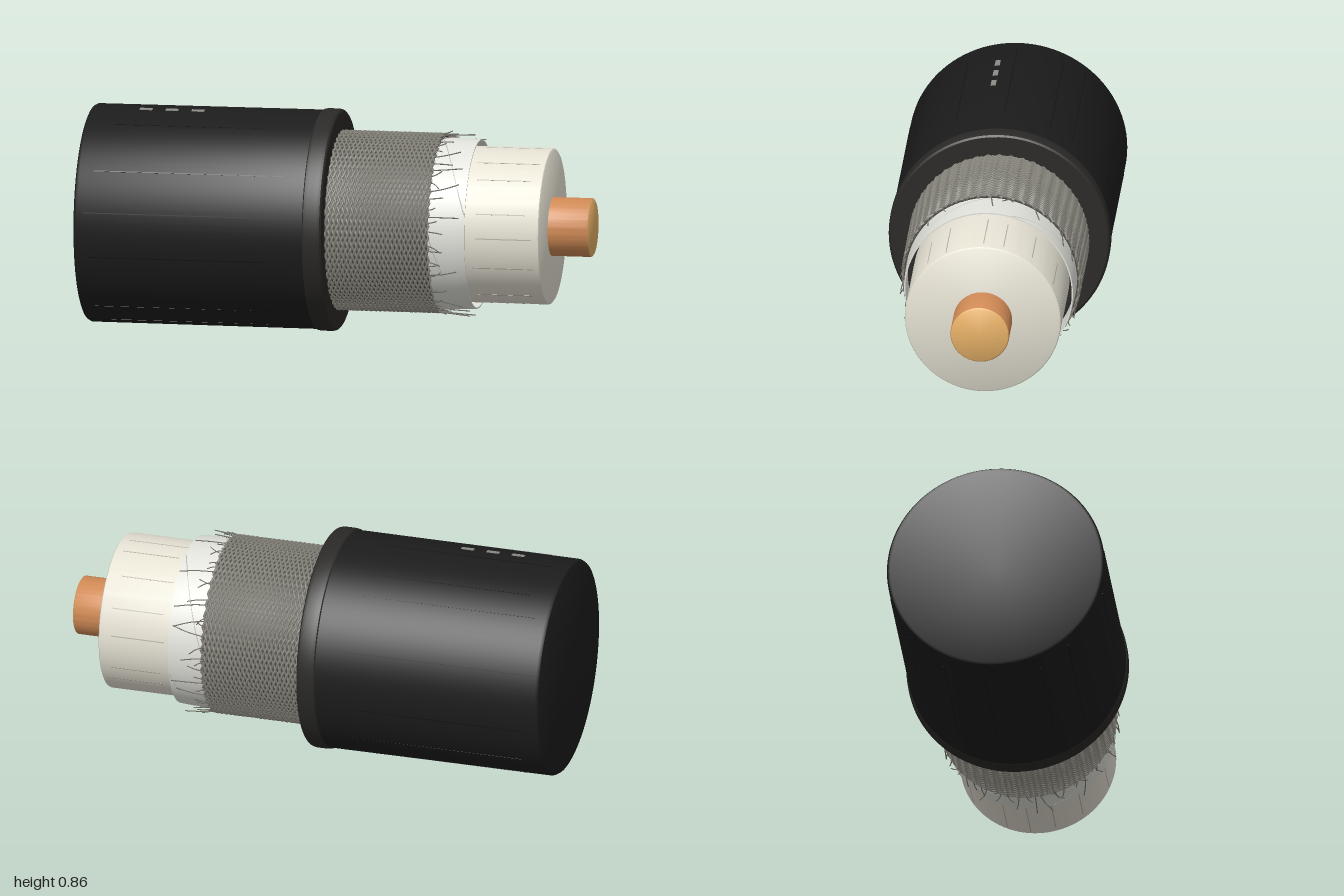
import * as THREE from 'three';
import { toCreasedNormals, mergeGeometries } from 'three/addons/utils/BufferGeometryUtils.js';

const V = (s, r, a) => new THREE.Vector3(s, r * Math.cos(a), r * Math.sin(a));

// Small seeded random generator
function seeded(seed) {
  return () => (seed = (seed * 16807) % 2147483647) / 2147483647;
}

function mesh(name, geometry, color, side = THREE.FrontSide) {
  const m = new THREE.Mesh(geometry, new THREE.MeshStandardMaterial({ color, side }));
  m.name = name;
  return m;
}

// Solid of revolution about x from [position along cable, radius] pairs
function turned(name, profile, color, side) {
  const points = profile.map(([s, r]) => new THREE.Vector2(r, s));
  const g = new THREE.LatheGeometry(points, 96).rotateZ(-Math.PI / 2);
  return mesh(name, toCreasedNormals(g, 0.6), color, side);
}

function wire(points, segments, radius, sides = 4) {
  return new THREE.TubeGeometry(new THREE.CatmullRomCurve3(points), segments, radius, sides);
}

// Woven shield: two families of opposite helices passing over and under
function braid(start, end) {
  const count = 48, turn = Math.PI, step = (Math.PI * 2) / count, strands = [];
  for (const dir of [1, -1]) {
    const points = [];
    for (let i = 0; i <= 96; i++) {
      const t = i / 96;
      const r = 0.343 + dir * 0.003 * Math.cos((Math.PI * 2 * turn * t) / step);
      points.push(V(start + (end - start) * t, r, dir * turn * t));
    }
    const strand = wire(points, 96, 0.005);
    for (let k = 0; k < count; k++) strands.push(strand.clone().rotateX(k * step));
  }
  return mesh('braidedShield', mergeGeometries(strands), 0x8c8a80);
}

// Loose wire ends curling over the foil at the cut edge of the braid
function frayedWires(start) {
  const random = seeded(7), wires = [];
  for (let k = 0; k < 64; k++) {
    const a = (k + random()) * (Math.PI * 2) / 64;
    const length = 0.03 + 0.11 * random() ** 2;
    const bend = (random() - 0.5) * 0.22;
    const lift = 0.008 + 0.014 * random();
    wires.push(wire([
      V(start - 0.01, 0.343, a),
      V(start + length * 0.5, 0.341 + lift * 0.5, a + bend * 0.4),
      V(start + length, 0.337 + lift, a + bend),
    ], 6, 0.0022));
  }
  return mesh('frayedWires', mergeGeometries(wires), 0x77756c);
}

// Diagonal overlaps of the wound foil tape
function foilSeams(start, end) {
  const seams = [];
  for (let k = 0; k < 4; k++) {
    const points = [];
    for (let i = 0; i <= 16; i++) {
      const t = i / 16;
      points.push(V(start + (end - start) * t, 0.3325 - 0.004 * t, k * Math.PI / 2 + t * 1.3));
    }
    seams.push(wire(points, 32, 0.0022));
  }
  return mesh('foilSeams', mergeGeometries(seams), 0xcfcfc9);
}

// Fine lengthwise lines lying on a round surface
function fineLines(name, start, end, radius, count, color, seed) {
  const random = seeded(seed), lines = [];
  for (let k = 0; k < count; k++) {
    const a = (k + 0.5 * random()) * (Math.PI * 2) / count;
    const from = start + (end - start) * 0.15 * random();
    const to = end - (end - start) * 0.15 * random();
    const g = new THREE.BoxGeometry(to - from, 0.002, 0.004);
    lines.push(g.translate((from + to) / 2, radius, 0).rotateX(a));
  }
  return mesh(name, mergeGeometries(lines), color);
}

export function createModel() {
  const model = new THREE.Group();
  model.name = 'strippedCable';

  // Outer jacket with softened back end, and the rolled lip at its cut
  model.add(turned('outerJacket', [
    [-0.98, 0], [-0.98, 0.408], [-0.976, 0.417], [-0.965, 0.423],
    [-0.03, 0.425], [-0.03, 0.3],
  ], 0x1c1c1c));
  model.add(turned('jacketLip', [
    [-0.08, 0.4], [-0.08, 0.423], [-0.074, 0.429], [-0.062, 0.431], [-0.022, 0.431],
    [-0.01, 0.428], [-0.004, 0.421], [-0.004, 0.335],
  ], 0x2a2927));
  model.add(fineLines('jacketLines', -0.97, -0.1, 0.4235, 14, 0x141414, 11));

  // Pale dashes on top of the jacket
  for (let i = 0; i < 3; i++) {
    const dash = mesh('jacketDash', new THREE.BoxGeometry(0.05, 0.003, 0.02), 0x8a8c84);
    dash.position.set(-0.757 + i * 0.102, 0.4225, 0.064);
    dash.rotation.x = 0.15;
    model.add(dash);
  }

  // Braid over a dark sleeve
  model.add(turned('braidSleeve', [
    [-0.02, 0.325], [-0.02, 0.339], [0.4, 0.339], [0.4, 0.325],
  ], 0x4a4943, THREE.DoubleSide));
  model.add(braid(-0.02, 0.405), frayedWires(0.4));

  // Thin foil wrap, open at the end
  model.add(turned('foilWrap', [
    [0.38, 0.325], [0.38, 0.333], [0.5, 0.331], [0.543, 0.328],
    [0.543, 0.323], [0.38, 0.325],
  ], 0xe2e2dc, THREE.DoubleSide));
  model.add(foilSeams(0.4, 0.54));
  model.add(turned('gapFloor', [[0.39, 0.34], [0.39, 0.29]], 0x2a2927, THREE.DoubleSide));

  // Insulating core and copper conductor
  model.add(turned('insulation', [
    [0.3, 0], [0.3, 0.303], [0.822, 0.303], [0.828, 0.301], [0.832, 0.295], [0.832, 0],
  ], 0xe6e2d4));
  model.add(fineLines('insulationLines', 0.55, 0.81, 0.3025, 16, 0xb8b5a8, 23));
  model.add(turned('conductor', [
    [0.8, 0], [0.8, 0.114], [0.984, 0.114], [0.988, 0.112],
  ], 0xd08a55));
  model.add(turned('conductorFace', [[0.988, 0.112], [0.992, 0.106], [0.993, 0]], 0xe8b268));

  // Lies level, turned slightly toward the front
  model.position.set(0, 0.433, 0.016);
  model.rotation.y = -0.043;
  const root = new THREE.Group();
  root.name = 'cable';
  root.add(model);
  return root;
}
